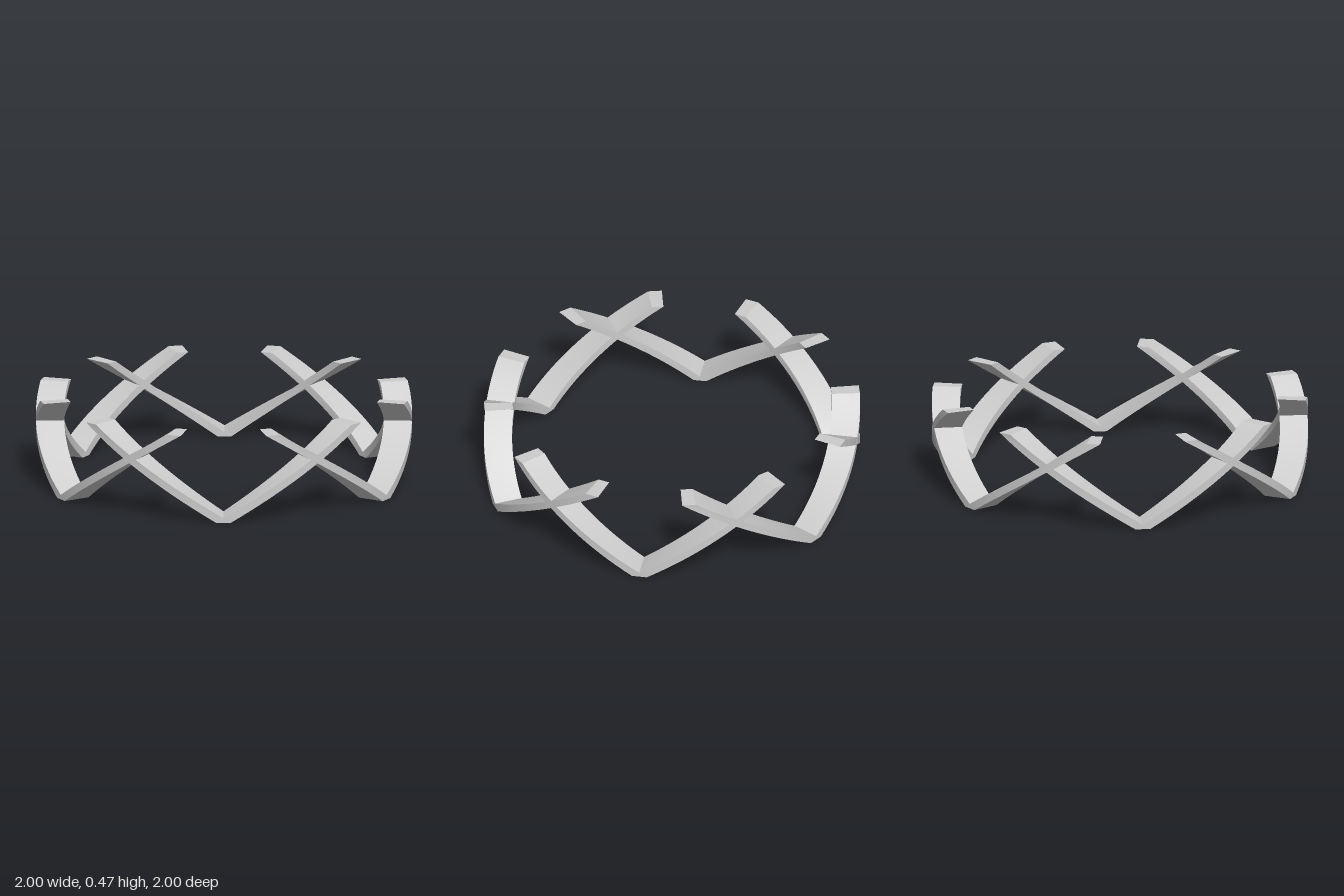
import * as THREE from 'three';
import { toCreasedNormals } from 'three/addons/utils/BufferGeometryUtils.js';

const OUTER = 1, INNER = 0.85, HEIGHT = 0.47, NOTCH = 0.025;
const STEPS = 20;

// One V-shaped brace wrapped around the ring, centred on angle 0 (+z).
function braceGeometry() {
  const positions = [], index = [];
  const point = (r, deg, y) => {
    const a = THREE.MathUtils.degToRad(deg);
    positions.push(r * Math.sin(a), y, r * Math.cos(a));
  };

  // Cross-section at fraction t up one arm; side is -1 or 1
  const section = (t, side) => {
    const low = side * (2.3 + 44.6 * t), lowY = HEIGHT * t;
    const high = side * 42.7 * t, highY = NOTCH + (HEIGHT - NOTCH) * t;
    point(OUTER, low, lowY);
    point(OUTER, high, highY);
    point(INNER, high, highY);
    point(INNER, low, lowY);
  };
  for (let i = STEPS; i >= 0; i--) section(i / STEPS, -1);
  for (let i = 0; i <= STEPS; i++) section(i / STEPS, 1);

  // Join neighbouring cross-sections
  const count = 2 * STEPS + 2;
  for (let k = 0; k < count - 1; k++) {
    for (let c = 0; c < 4; c++) {
      if (k === STEPS && c === 1) continue; // the two arms share the notch edge
      const a = 4 * k + c, b = 4 * k + (c + 1) % 4;
      index.push(a, a + 4, b + 4, a, b + 4, b);
    }
  }
  // Flat top ends
  const e = 4 * (count - 1);
  index.push(0, 1, 2, 0, 2, 3, e, e + 2, e + 1, e, e + 3, e + 2);

  const geometry = new THREE.BufferGeometry();
  geometry.setAttribute('position', new THREE.Float32BufferAttribute(positions, 3));
  geometry.setIndex(index);
  return toCreasedNormals(geometry, THREE.MathUtils.degToRad(30));
}

export function createModel() {
  const model = new THREE.Group();
  model.name = 'latticeRing';
  const grey = new THREE.MeshStandardMaterial({ color: 0xcccccc });
  grey.name = 'lightGrey';

  // Six braces, crossing their neighbours
  const geometry = braceGeometry();
  for (let i = 0; i < 6; i++) {
    const brace = new THREE.Mesh(geometry, grey);
    brace.name = `brace${i + 1}`;
    brace.rotation.y = THREE.MathUtils.degToRad(30 + 60 * i);
    model.add(brace);
  }
  return model;
}
